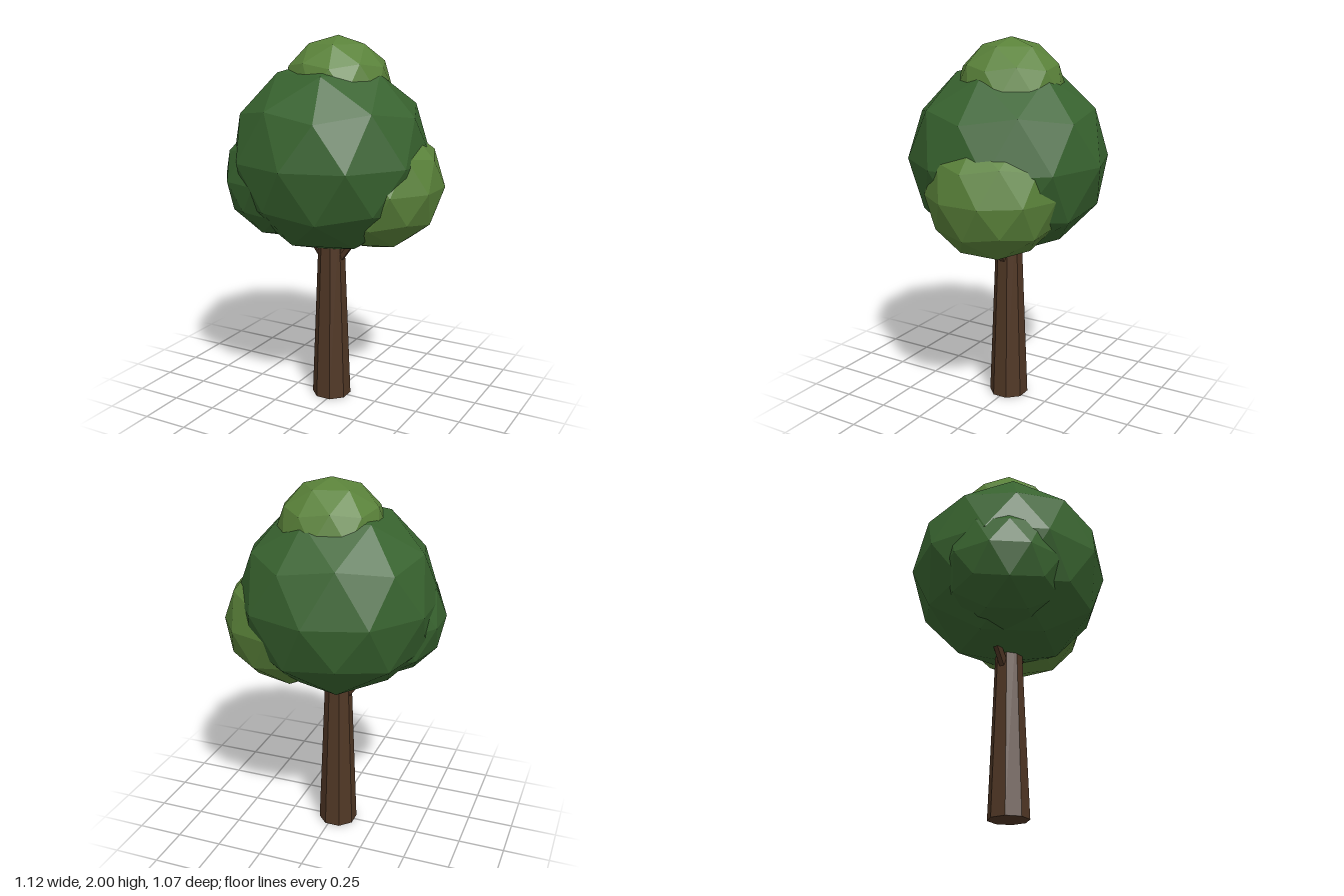
import * as THREE from 'three';

const flat = (name, color) => {
  const m = new THREE.MeshStandardMaterial({ color, flatShading: true });
  m.name = name;
  return m;
};

export function createModel() {
  const bark = flat('bark brown', 0x503725);
  const darkLeaf = flat('dark green', 0x38632f);
  const lightLeaf = flat('light green', 0x5a823a);
  const tree = new THREE.Group();
  tree.name = 'tree';

  const add = (name, geometry, material) => {
    const mesh = new THREE.Mesh(geometry, material);
    mesh.name = name;
    tree.add(mesh);
    return mesh;
  };

  // Faceted leaf ball with a corner at each pole
  const leafBall = (name, material, [x, y, z], radius, halfHeight) => {
    const g = new THREE.IcosahedronGeometry(1, 1);
    g.rotateZ(-Math.atan(2 / (1 + Math.sqrt(5))));
    g.scale(radius, halfHeight, radius);
    add(name, g, material).position.set(x, y, z);
  };
  leafBall('mainCrown', darkLeaf, [-0.025, 1.37, 0], 0.535, 0.52);
  leafBall('topCrown', lightLeaf, [0, 1.72, -0.03], 0.29, 0.28);
  leafBall('leftCrown', lightLeaf, [0.22, 1.23, -0.06], 0.358, 0.35);
  leafBall('rightCrown', darkLeaf, [-0.237, 1.257, 0.105], 0.34, 0.33);

  // Tapered eight-sided trunk
  const trunk = new THREE.CylinderGeometry(0.066, 0.108, 1.05, 8);
  trunk.rotateY(Math.PI / 8);
  add('trunk', trunk, bark).position.set(-0.025, 0.525, 0);

  // Short branches rising from the trunk into the leaves
  for (const side of [1, -1]) {
    const branch = new THREE.CylinderGeometry(0.02, 0.028, 0.3, 6);
    branch.translate(0, 0.15, 0);
    const mesh = add(side > 0 ? 'leftBranch' : 'rightBranch', branch, bark);
    mesh.position.set(-0.025 + side * 0.04, 0.8, 0);
    mesh.rotation.z = -side * 0.65;
  }
  return tree;
}
